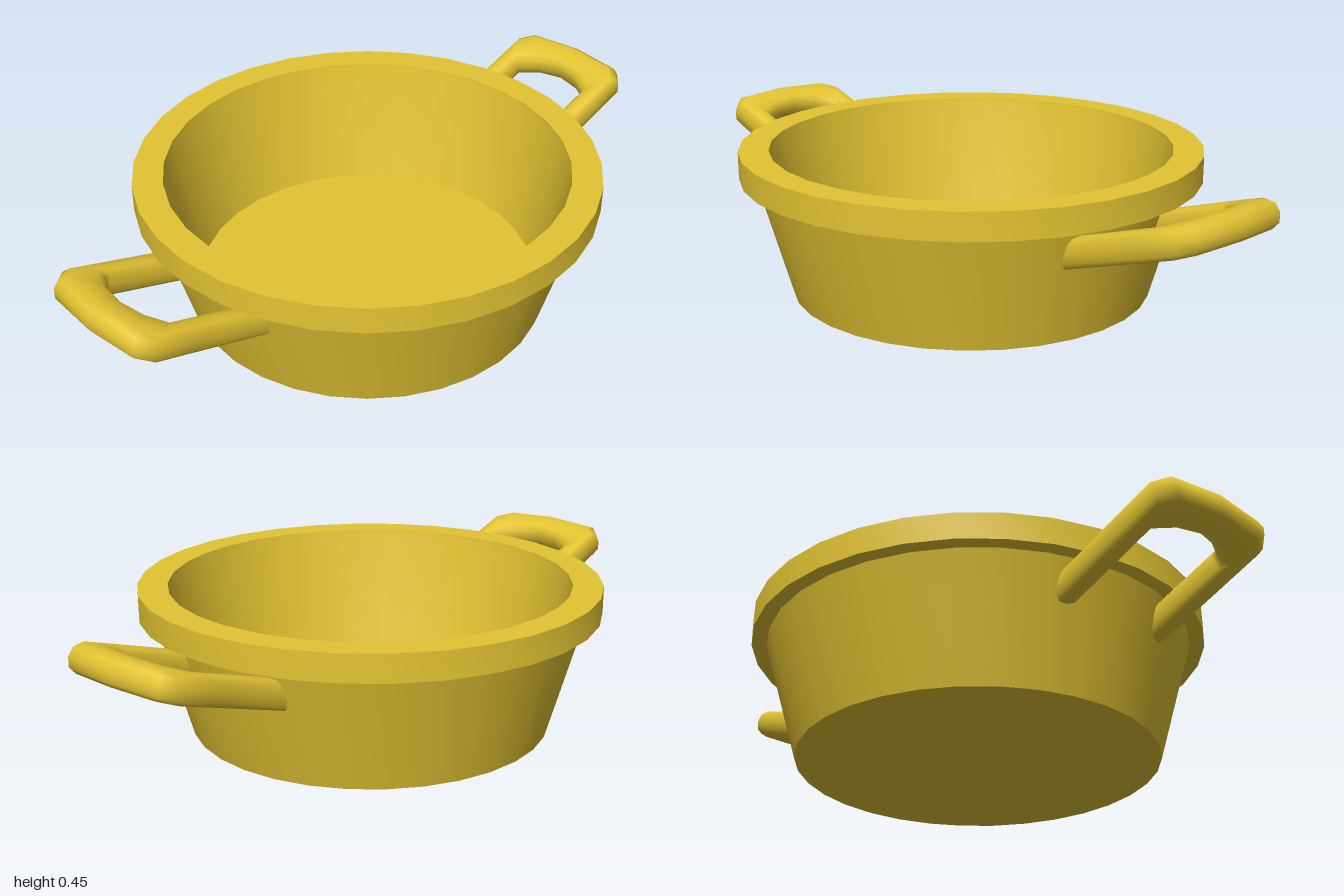
import * as THREE from 'three';
import { toCreasedNormals } from 'three/addons/utils/BufferGeometryUtils.js';

const TILT = 0.32; // upward slope of the handles
const SIDES = 12;

// Loop handle: each station joins an outer and an inner edge point [x, along]
function handleGeometry() {
  const half = [
    { o: [0.205, -0.01], i: [0.135, -0.01], slant: 0.62 }, // end cut along the pot wall
    { o: [0.205, 0.26], i: [0.135, 0.26] },
    { o: [0.205, 0.375], i: [0.135, 0.275] },
    { o: [0.17, 0.415], i: [0.07, 0.311] },
    { o: [0, 0.432], i: [0, 0.326] },
  ];
  const flip = ({ o, i, slant }) => ({ o: [-o[0], o[1]], i: [-i[0], i[1]], slant });
  const stations = [...half, ...half.slice(0, -1).reverse().map(flip)];
  const thick = 0.043;
  const soft = (t) => Math.sign(t) * Math.pow(Math.abs(t), 0.7);
  const pos = [], index = [];
  stations.forEach(({ o, i, slant = 0 }, s) => {
    for (let k = 0; k < SIDES; k++) {
      const a = (k / SIDES) * Math.PI * 2;
      const c = soft(Math.cos(a)), n = soft(Math.sin(a)) * thick;
      const x = (o[0] + i[0]) / 2 + (c * (o[0] - i[0])) / 2;
      const v = (o[1] + i[1]) / 2 + (c * (o[1] - i[1])) / 2 + n * slant;
      pos.push(x,
        0.28 + v * Math.sin(TILT) + n * Math.cos(TILT),
        0.58 + v * Math.cos(TILT) - n * Math.sin(TILT));
      if (s < stations.length - 1) {
        const p = s * SIDES + k, q = s * SIDES + ((k + 1) % SIDES);
        index.push(p, q, q + SIDES, p, q + SIDES, p + SIDES);
      }
    }
  });
  const g = new THREE.BufferGeometry();
  g.setAttribute('position', new THREE.Float32BufferAttribute(pos, 3));
  g.setIndex(index);
  g.computeVertexNormals();
  return g;
}

export function createModel() {
  const model = new THREE.Group();
  model.name = 'cookingPot';
  const material = new THREE.MeshStandardMaterial({ color: 0xe3c433 });

  // Tapered bowl with a thick flat rim
  const profile = [
    [0, 0], [0.535, 0], [0.635, 0.355], [0.68, 0.355], [0.68, 0.435],
    [0.592, 0.435], [0.59, 0.42], [0.505, 0.06], [0, 0.06],
  ].map(([r, y]) => new THREE.Vector2(r, y));
  const bowl = new THREE.Mesh(
    toCreasedNormals(new THREE.LatheGeometry(profile, 32), 0.6), material);
  bowl.name = 'bowl';
  model.add(bowl);

  // Front and back handles
  const geometry = handleGeometry();
  ['frontHandle', 'backHandle'].forEach((name, k) => {
    const handle = new THREE.Mesh(geometry, material);
    handle.name = name;
    handle.rotation.y = k * Math.PI;
    model.add(handle);
  });
  return model;
}
